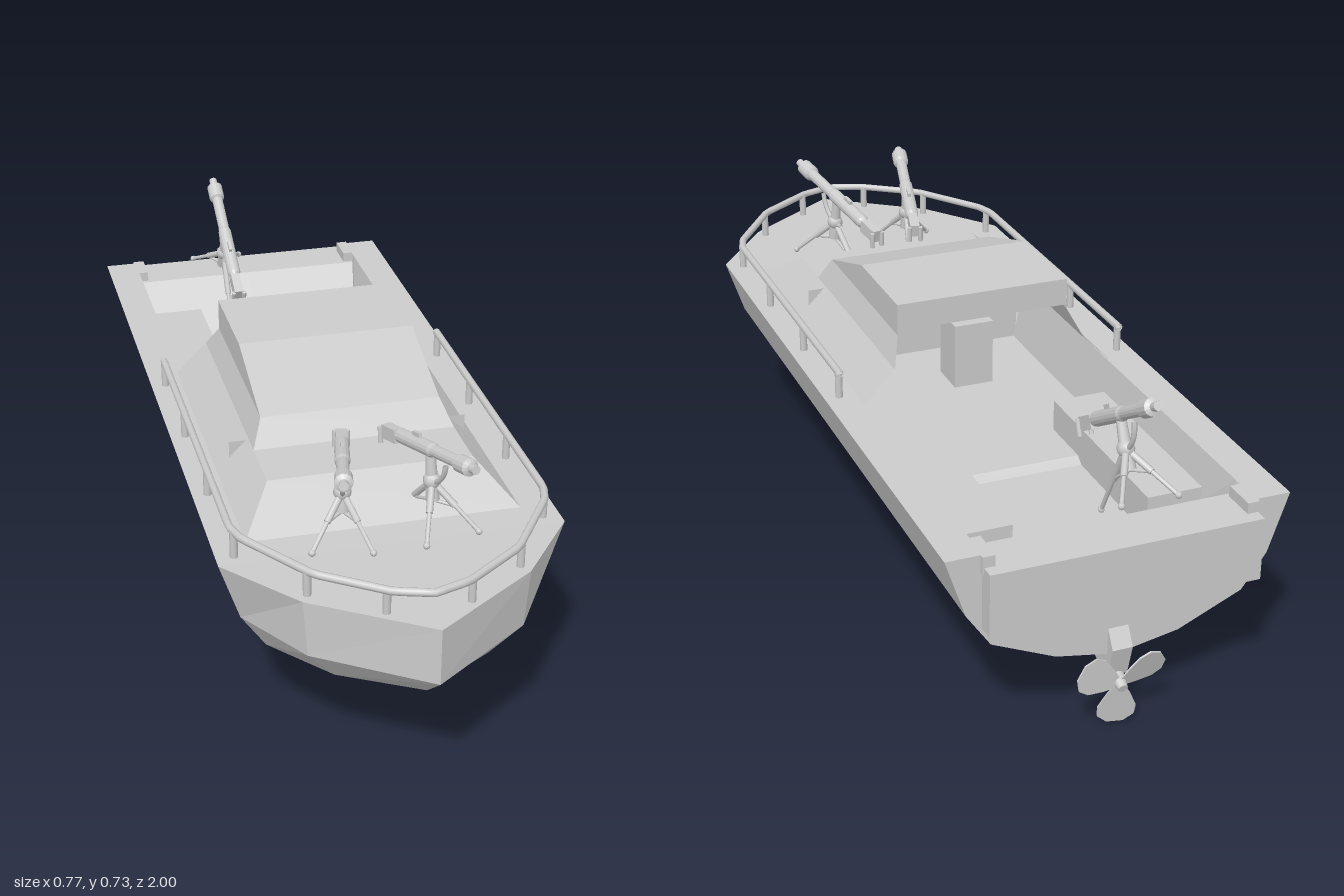
import * as THREE from 'three';

const mat = new THREE.MeshStandardMaterial({ color: 0xcccccc, side: THREE.DoubleSide, flatShading: true });
const smooth = new THREE.MeshStandardMaterial({ color: 0xcccccc, side: THREE.DoubleSide });
const V = (x, y, z) => new THREE.Vector3(x, y, z);

function add(parent, name, geo, material = mat) {
  const m = new THREE.Mesh(geo, material);
  m.name = name;
  parent.add(m);
  return m;
}

function box(parent, name, x0, x1, y0, y1, z0, z1) {
  const m = add(parent, name, new THREE.BoxGeometry(x1 - x0, y1 - y0, z1 - z0));
  m.position.set((x0 + x1) / 2, (y0 + y1) / 2, (z0 + z1) / 2);
  return m;
}

// Flat-faced skin between rows with equal numbers of points
function loft(rows) {
  const pos = [];
  const tri = (a, b, c) => {
    const n = V().crossVectors(b.clone().sub(a), c.clone().sub(a));
    if (n.length() > 1e-8) for (const p of [a, b, c]) pos.push(p.x, p.y, p.z);
  };
  for (let i = 0; i + 1 < rows.length; i++) {
    for (let j = 0; j + 1 < rows[i].length; j++) {
      const a = rows[i][j], b = rows[i][j + 1], c = rows[i + 1][j + 1], d = rows[i + 1][j];
      tri(a, b, c);
      tri(a, c, d);
    }
  }
  const g = new THREE.BufferGeometry();
  g.setAttribute('position', new THREE.Float32BufferAttribute(pos, 3));
  g.computeVertexNormals();
  return g;
}

// Round bar between two points
function bar(parent, name, a, b, r0, r1 = r0, sides = 8) {
  const d = b.clone().sub(a);
  const m = add(parent, name, new THREE.CylinderGeometry(r1, r0, d.length(), sides), smooth);
  m.position.copy(a).addScaledVector(d, 0.5);
  m.quaternion.setFromUnitVectors(V(0, 1, 0), d.normalize());
  return m;
}

// Mirrors a half outline whose last point lies on the centre line
const mirrored = half => [...half, ...half.slice(0, -1).reverse().map(p => V(-p.x, p.y, p.z))];

function buildHull(boat) {
  const levels = [
    [V(0.385, 0.48, -0.96), V(0.385, 0.48, 0.65), V(0.245, 0.484, 0.83), V(0, 0.488, 1)],
    [V(0.34, 0.345, -0.96), V(0.34, 0.345, 0.65), V(0.235, 0.35, 0.83), V(0, 0.355, 1)],
    [V(0.285, 0.265, -0.96), V(0.285, 0.265, 0.65), V(0.17, 0.27, 0.8), V(0, 0.278, 0.91)],
    [V(0.14, 0.2, -0.96), V(0.14, 0.2, 0.65), V(0.08, 0.21, 0.74), V(0, 0.225, 0.8)],
    [V(0, 0.174, -0.96), V(0, 0.174, 0.65), V(0, 0.174, 0.66), V(0, 0.174, 0.67)],
  ];
  add(boat, 'hull', loft(levels.map(mirrored)));

  // Stern plate
  const edge = levels.map(l => [l[0].x, l[0].y]);
  const half = [[0.305, 0.455], [0.305, 0.48], ...edge];
  const outline = [...half, ...half.slice(0, -1).reverse().map(([x, y]) => [-x, y])];
  const stern = new THREE.ShapeGeometry(new THREE.Shape(outline.map(p => new THREE.Vector2(...p))));
  add(boat, 'sternPlate', stern.rotateY(Math.PI).translate(0, 0, -0.96));

  // Side decks and foredeck, open over the cockpit
  const h = [[0.305, 0.3], [0.305, -0.96], [0.385, -0.96], [0.385, 0.65], [0.245, 0.83], [0, 1]];
  const d = [...h, ...h.slice(0, -1).reverse().map(([x, z]) => [-x, z])];
  const deck = new THREE.ShapeGeometry(new THREE.Shape(d.map(([x, z]) => new THREE.Vector2(x, -z))));
  deck.rotateX(-Math.PI / 2);
  const p = deck.attributes.position;
  for (let i = 0; i < p.count; i++) p.setY(i, 0.48 + 0.008 * Math.max(0, (p.getZ(i) - 0.65) / 0.35));
  add(boat, 'deck', deck);
  box(boat, 'transomBoard', -0.305, 0.305, 0.31, 0.455, -1, -0.88);
}

function buildCockpit(boat) {
  const walls = [
    mirrored([V(0.305, 0.48, 0.25), V(0.305, 0.48, -0.87), V(0.305, 0.455, -0.88), V(0, 0.455, -0.88)]),
    mirrored([V(0.27, 0.32, 0.25), V(0.27, 0.32, -0.715), V(0.27, 0.32, -0.715), V(0, 0.32, -0.715)]),
  ];
  add(boat, 'cockpitWalls', loft(walls));
  // Floor with a low ramped step
  const floor = [[0.32, -0.715], [0.32, -0.43], [0.335, -0.41], [0.335, 0.25], [0.55, 0.25]];
  add(boat, 'cockpitFloor', loft(floor.map(([y, z]) => [V(0.28, y, z), V(-0.28, y, z)])));
  for (const s of [-1, 1]) {
    box(boat, 'sideLocker', s * 0.222 - 0.065, s * 0.222 + 0.065, 0.32, 0.41, -0.765, -0.27);
    box(boat, 'sternBracket', s * 0.295 - 0.014, s * 0.295 + 0.014, 0.44, 0.48, -0.97, -0.89);
  }
  box(boat, 'helmConsole', -0.12, -0.02, 0.33, 0.5, 0.02, 0.12);
}

function buildCabin(boat) {
  const row = (x, y, front, back) => [V(x, y, back), V(x, y, front), V(-x, y, front), V(-x, y, back)];
  // Low trunk, cabin sides, windscreen, roof, then the header over the open back
  add(boat, 'cabin', loft([
    row(0.31, 0.48, 0.57, -0.26),
    row(0.235, 0.555, 0.45, -0.26),
    row(0.235, 0.555, 0.31, -0.26),
    row(0.21, 0.615, 0.27, -0.21),
    row(0.21, 0.69, 0.04, -0.21),
    row(0.21, 0.69, -0.21, -0.21),
    row(0.21, 0.625, -0.21, -0.21),
  ]));
}

function buildRail(boat) {
  const path = new THREE.CurvePath();
  const pts = mirrored([V(0.35, 0.542, -0.21), V(0.35, 0.542, 0.6), V(0.335, 0.542, 0.65),
    V(0.22, 0.542, 0.82), V(0.08, 0.542, 0.92), V(0, 0.542, 0.945)]);
  for (let i = 0; i + 1 < pts.length; i++) path.add(new THREE.LineCurve3(pts[i], pts[i + 1]));
  add(boat, 'handrail', new THREE.TubeGeometry(path, 120, 0.009, 8), smooth);
  for (const s of [-1, 1]) {
    for (const [x, z] of [[0.35, -0.2], [0.35, 0.07], [0.35, 0.35], [0.345, 0.62], [0.23, 0.805], [0.09, 0.91]]) {
      bar(boat, 'railPost', V(s * x, 0.478, z), V(s * x, 0.54, z), 0.009);
    }
  }
}

function buildPropeller(boat) {
  const side = [[0.9, 0.19], [0.9, 0.14], [0.965, 0.125], [0.985, 0.2], [0.96, 0.24]];
  const strut = new THREE.ExtrudeGeometry(new THREE.Shape(side.map(p => new THREE.Vector2(...p))),
    { depth: 0.046, bevelEnabled: false });
  add(boat, 'propellerStrut', strut.translate(0, 0, -0.023).rotateY(Math.PI / 2));
  const prop = new THREE.Group();
  prop.name = 'propeller';
  prop.position.set(0, 0.11, -0.98);
  prop.rotation.x = -0.17;
  boat.add(prop);
  bar(prop, 'hub', V(0, 0, -0.015), V(0, 0.01, 0.05), 0.011, 0.022, 10);
  const half = [[0.008, 0], [0.026, 0.03], [0.042, 0.065], [0.04, 0.09], [0.018, 0.108]];
  const outline = [...half, ...half.slice().reverse().map(([x, y]) => [-x, y])];
  for (let i = 0; i < 3; i++) {
    const blade = add(prop, 'blade', new THREE.ExtrudeGeometry(
      new THREE.Shape(outline.map(p => new THREE.Vector2(...p))), { depth: 0.004, bevelEnabled: false }));
    blade.geometry.rotateY(0.18);
    blade.rotation.z = Math.PI + i * Math.PI * 2 / 3;
  }
}

// Tripod gun, origin at the middle of its barrel, muzzle toward +z
function buildGun(boat, x, y, z, yaw, pitch) {
  const gun = new THREE.Group();
  gun.name = 'deckGun';
  gun.position.set(x, y, z);
  gun.rotation.set(-pitch, yaw, 0, 'YXZ');
  boat.add(gun);

  const top = new THREE.Group();
  top.name = 'gunBody';
  top.rotation.x = -0.22;
  gun.add(top);
  const profile = [[0, -0.19], [0.01, -0.19], [0.012, -0.13], [0.017, -0.12], [0.017, 0.02], [0.014, 0.03],
    [0.014, 0.13], [0.02, 0.135], [0.02, 0.175], [0.01, 0.18], [0.01, 0.2], [0, 0.2]];
  const barrel = new THREE.LatheGeometry(profile.map(p => new THREE.Vector2(...p)), 14);
  add(top, 'barrel', barrel.rotateX(Math.PI / 2));
  box(top, 'breech', -0.012, 0.012, -0.02, 0.012, -0.19, -0.13);
  box(top, 'sight', -0.004, 0.004, 0.012, 0.026, -0.06, -0.03);
  for (const s of [-1, 1]) bar(top, 'grip', V(s * 0.014, 0.008, -0.19), V(s * 0.014, -0.03, -0.195), 0.006);
  // Curved elevation guide below the barrel
  const guide = add(gun, 'elevationArc', new THREE.TorusGeometry(0.075, 0.006, 6, 14, 1.6), smooth);
  guide.rotation.set(0, Math.PI / 2, 0);
  guide.geometry.rotateZ(Math.PI + 0.1);

  // Pedestal head and three legs
  bar(gun, 'pedestal', V(0, -0.115, 0.025), V(0, -0.005, 0.01), 0.016, 0.011, 10);
  const collar = add(gun, 'collar', new THREE.SphereGeometry(0.02, 10, 8), smooth);
  collar.position.set(0, -0.07, 0.02);
  for (const foot of [V(-0.065, -0.165, 0.115), V(0.065, -0.165, 0.115), V(0, -0.23, -0.14)]) {
    const knee = V(0, -0.07, 0.02).lerp(foot, 0.5);
    bar(gun, 'upperLeg', V(0, -0.07, 0.02), knee, 0.008);
    bar(gun, 'lowerLeg', knee, foot, 0.005);
    add(gun, 'foot', new THREE.SphereGeometry(0.008, 8, 6), smooth).position.copy(foot);
    bar(gun, 'legBrace', V(0, -0.115, 0.025), knee, 0.004);
  }
}

export function createModel() {
  const boat = new THREE.Group();
  boat.name = 'patrolBoat';
  buildHull(boat);
  buildCockpit(boat);
  buildCabin(boat);
  buildRail(boat);
  buildPropeller(boat);
  for (const s of [-1, 1]) buildGun(boat, s * 0.095, 0.655, 0.565, s * 0.235, 0);
  buildGun(boat, -0.083, 0.62, -0.755, Math.PI, 0.31);
  return boat;
}
